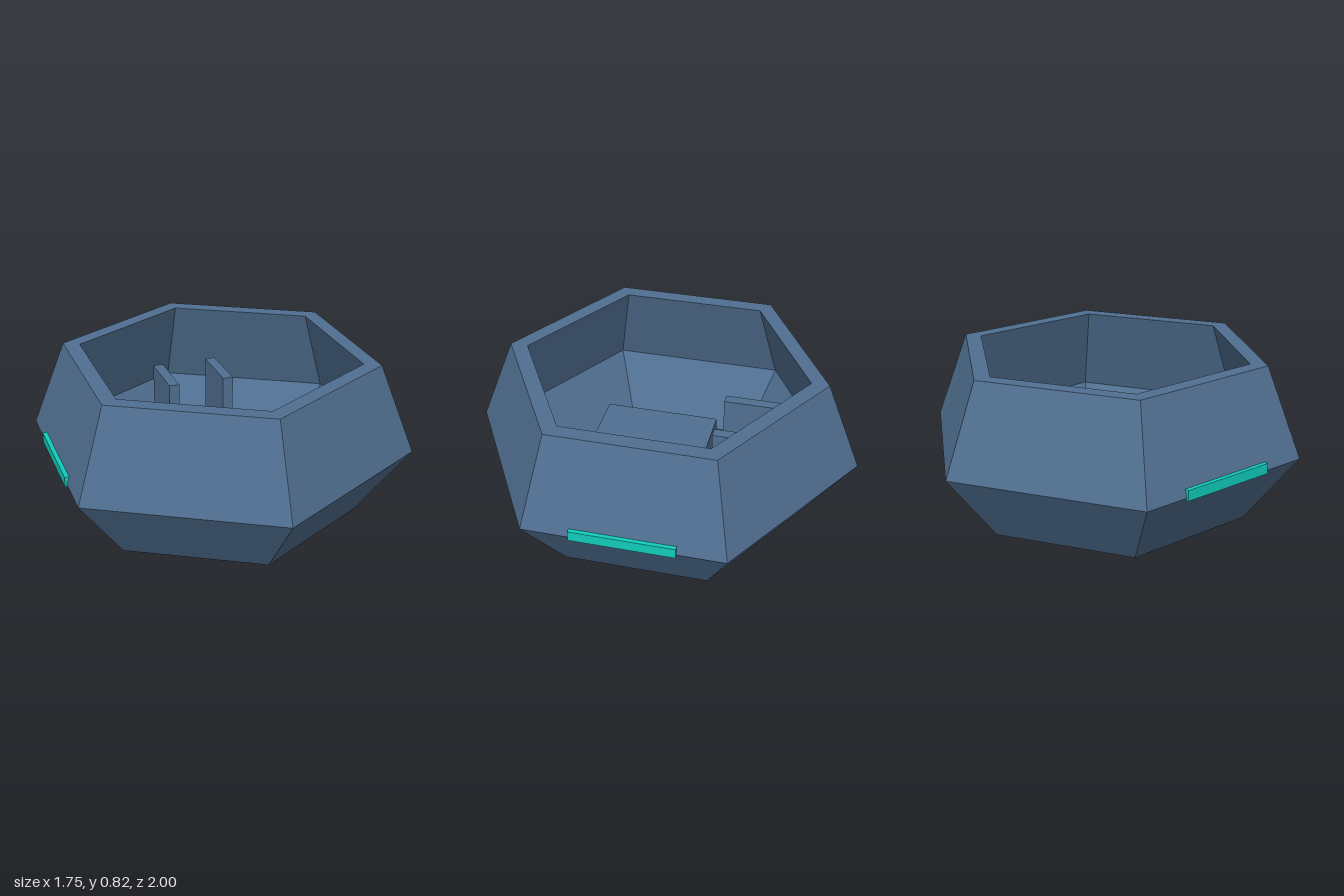
import * as THREE from 'three';

export function createModel() {
  const model = new THREE.Group();
  model.name = 'hexagonalPod';

  const flat = (name, color) => {
    const m = new THREE.MeshStandardMaterial({ color });
    m.name = name;
    m.flatShading = true;
    return m;
  };
  const hullBlue = flat('hullBlue', 0x506f91);
  const glowTeal = flat('glowTeal', 0x11ccbb);
  const seatDark = flat('seatDark', 0x45404a);

  const add = (name, geometry, material, x = 0, y = 0, z = 0) => {
    const mesh = new THREE.Mesh(geometry, material);
    mesh.name = name;
    mesh.position.set(x, y, z);
    model.add(mesh);
    return mesh;
  };
  // Box given by its centre in plan, its bottom and its top
  const block = (name, material, x, z, w, d, y0, y1) =>
    add(name, new THREE.BoxGeometry(w, y1 - y0, d), material, x, (y0 + y1) / 2, z);

  // Six-sided hollow shell: underside, outer walls, rim, inner walls, inner base
  const profile = [
    [0, 0], [0.725, 0], [1, 0.36], [0.82, 0.82],
    [0.73, 0.82], [0.9, 0.36], [0.645, 0.015], [0, 0.015],
  ].map(([r, y]) => new THREE.Vector2(r, y));
  const shell = new THREE.LatheGeometry(profile, 6).toNonIndexed();
  shell.computeVertexNormals();
  add('hull', shell, hullBlue);

  // Cabin floor disc, its edge cut by the sloping walls
  add('floor', new THREE.CylinderGeometry(0.635, 0.635, 0.025, 24), hullBlue, 0, 0.0275, 0);

  // Central console
  block('console', hullBlue, 0, 0.065, 0.38, 0.59, 0.03, 0.39);

  for (const side of [1, -1]) {
    const label = side > 0 ? 'left' : 'right';
    // Upright fins behind the console
    block(label + 'Fin', hullBlue, side * 0.152, -0.43, 0.055, 0.3, 0.03, 0.555);
    // Low seats beside the console
    block(label + 'Seat', seatDark, side * 0.33, 0.19, 0.22, 0.3, 0.03, 0.2);
    // Light strips on the widest ridge
    block(label + 'LightStrip', glowTeal, side * 0.862, 0, 0.026, 0.52, 0.347, 0.4);
  }

  return model;
}
